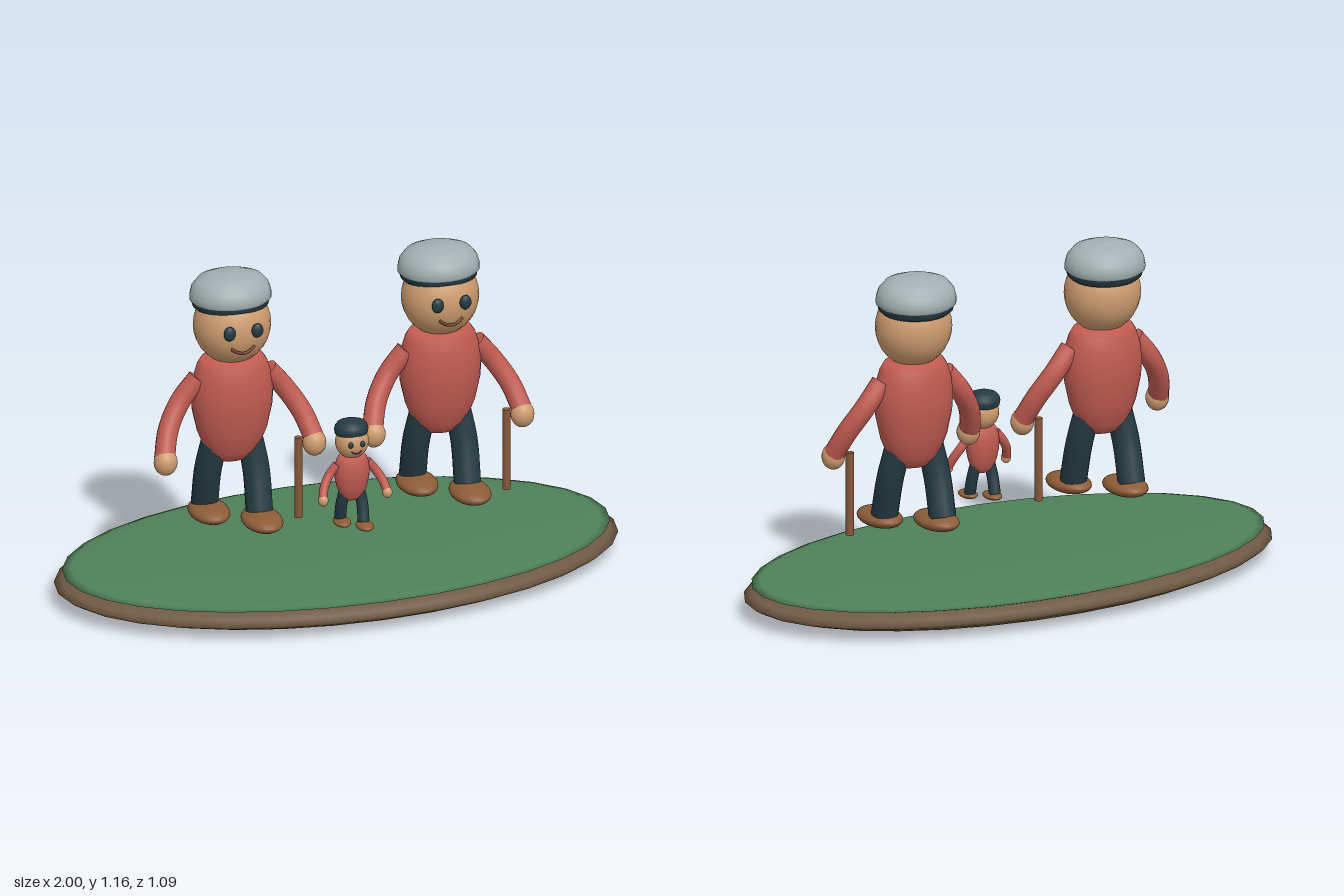
import * as THREE from 'three';

const mat = (color) => new THREE.MeshStandardMaterial({ color });
const M = {
  skin: mat(0xcf9d70), shirt: mat(0xc25c52), dark: mat(0x253b43), cap: mat(0xa3afb1),
  shoe: mat(0x8d5c38), cane: mat(0x86583a), grass: mat(0x4f8159), soil: mat(0x6f5944), mouth: mat(0x6b3f2a),
};

function add(parent, name, geometry, material, pos = [0, 0, 0], scale = [1, 1, 1]) {
  const mesh = new THREE.Mesh(geometry, material);
  mesh.name = name;
  mesh.position.set(...pos);
  mesh.scale.set(...scale);
  parent.add(mesh);
  return mesh;
}

const ball = new THREE.SphereGeometry(1, 24, 16);
const lathe = (pts, n = 28) => new THREE.LatheGeometry(pts.map(([r, y]) => new THREE.Vector2(r, y)), n);
const curve = (pts) => new THREE.CatmullRomCurve3(pts.map((p) => new THREE.Vector3(...p)));

// Curved limb with a closed disc at both ends
function limb(parent, name, pts, radius, material) {
  const path = curve(pts);
  add(parent, name, new THREE.TubeGeometry(path, 14, radius, 14), material);
  for (const t of [0, 1]) {
    const end = add(parent, name + 'End', new THREE.CircleGeometry(radius, 14), material, path.getPoint(t).toArray());
    const dir = path.getTangent(t).multiplyScalar(t ? 1 : -1);
    end.quaternion.setFromUnitVectors(new THREE.Vector3(0, 0, 1), dir);
  }
}

const torsoShape = lathe([[0, 0.475], [0.055, 0.483], [0.095, 0.52], [0.123, 0.59], [0.141, 0.67],
  [0.145, 0.73], [0.138, 0.79], [0.124, 0.835], [0.108, 0.86], [0, 0.865]]);
// Headwear profiles are measured from the height of the brim
const hairShape = lathe([[0, 0], [0.118, 0], [0.132, 0.012], [0.138, 0.045], [0.131, 0.075],
  [0.109, 0.102], [0.068, 0.118], [0, 0.123]]);
const capShape = lathe([[0.134, 0.027], [0.142, 0.034], [0.141, 0.055], [0.134, 0.08],
  [0.112, 0.106], [0.07, 0.121], [0, 0.126]]);

function figure(name, hasCapAndCane) {
  const g = new THREE.Group();
  g.name = name;

  add(g, 'torso', torsoShape, M.shirt, [0, 0, 0], [1, 1, 0.71]);
  add(g, 'head', ball, M.skin, [0, 0.98, 0], [0.135, 0.14, 0.124]);

  // Hair, with a pale cap pulled over it on the adults
  const top = new THREE.Group();
  top.name = 'headwear';
  top.position.set(0, 1.036, -0.014);
  top.rotation.x = -0.05;
  g.add(top);
  add(top, 'hair', hairShape, M.dark, [0, 0, 0], [1, 1, 0.9]);
  if (hasCapAndCane) add(top, 'cap', capShape, M.cap, [0, 0, 0], [1, 1, 0.9]);

  // Smile
  const smile = curve([[-0.042, 0.934, 0.112], [-0.022, 0.921, 0.12], [0, 0.916, 0.122],
    [0.022, 0.921, 0.12], [0.042, 0.934, 0.112]]);
  add(g, 'mouth', new THREE.TubeGeometry(smile, 16, 0.0055, 8), M.mouth);

  for (const s of [-1, 1]) {
    const side = s > 0 ? 'left' : 'right';
    add(g, side + 'Eye', ball, M.dark, [s * 0.05, 0.994, 0.122], [0.021, 0.026, 0.014]);
    limb(g, side + 'Arm', [[s * 0.125, 0.795, 0.005], [s * 0.19, 0.715, 0.005],
      [s * 0.242, 0.63, 0.035], [s * 0.27, 0.545, 0.078]], 0.036, M.shirt);
    add(g, side + 'Hand', ball, M.skin, [s * 0.268, 0.534, 0.084], [0.041, 0.047, 0.039]);
    // Walking pose: left leg forward, right leg back
    limb(g, side + 'Leg', [[s * 0.06, 0.56, 0], [s * 0.078, 0.44, s * 0.025],
      [s * 0.076, 0.3, s * 0.066]], 0.047, M.dark);
    add(g, side + 'Shoe', ball, M.shoe, [s * 0.073, 0.281, 0.036 + s * 0.066], [0.069, 0.032, 0.103]);
  }

  if (hasCapAndCane) {
    add(g, 'cane', new THREE.CylinderGeometry(0.014, 0.014, 0.295, 12), M.cane, [0.22, 0.4, 0.056]);
  }
  return g;
}

export function createModel() {
  const model = new THREE.Group();
  model.name = 'familyOnIsland';

  // Oval ground: soil slab with a thin grass layer
  add(model, 'soil', lathe([[0, 0], [0.45, 0.003], [0.75, 0.011], [0.91, 0.026], [0.975, 0.045], [1, 0.06],
    [0.975, 0.077], [0.92, 0.094], [0.8, 0.1], [0, 0.102]], 32), M.soil, [0, 0, 0], [1, 1, 0.545]);
  add(model, 'grass', lathe([[0, 0.09], [0.88, 0.093], [0.94, 0.098], [0.972, 0.105],
    [0.94, 0.112], [0.87, 0.118], [0.5, 0.123], [0, 0.124]], 32), M.grass, [0, 0, 0], [1, 1, 0.54]);

  // Two adults with a child between them
  for (const s of [-1, 1]) {
    const adult = figure(s > 0 ? 'leftAdult' : 'rightAdult', true);
    adult.position.x = s * 0.375;
    model.add(adult);
  }
  const child = figure('child', false);
  child.scale.setScalar(0.43);
  child.position.set(-0.003, 0.14, 0.175);
  model.add(child);
  return model;
}
